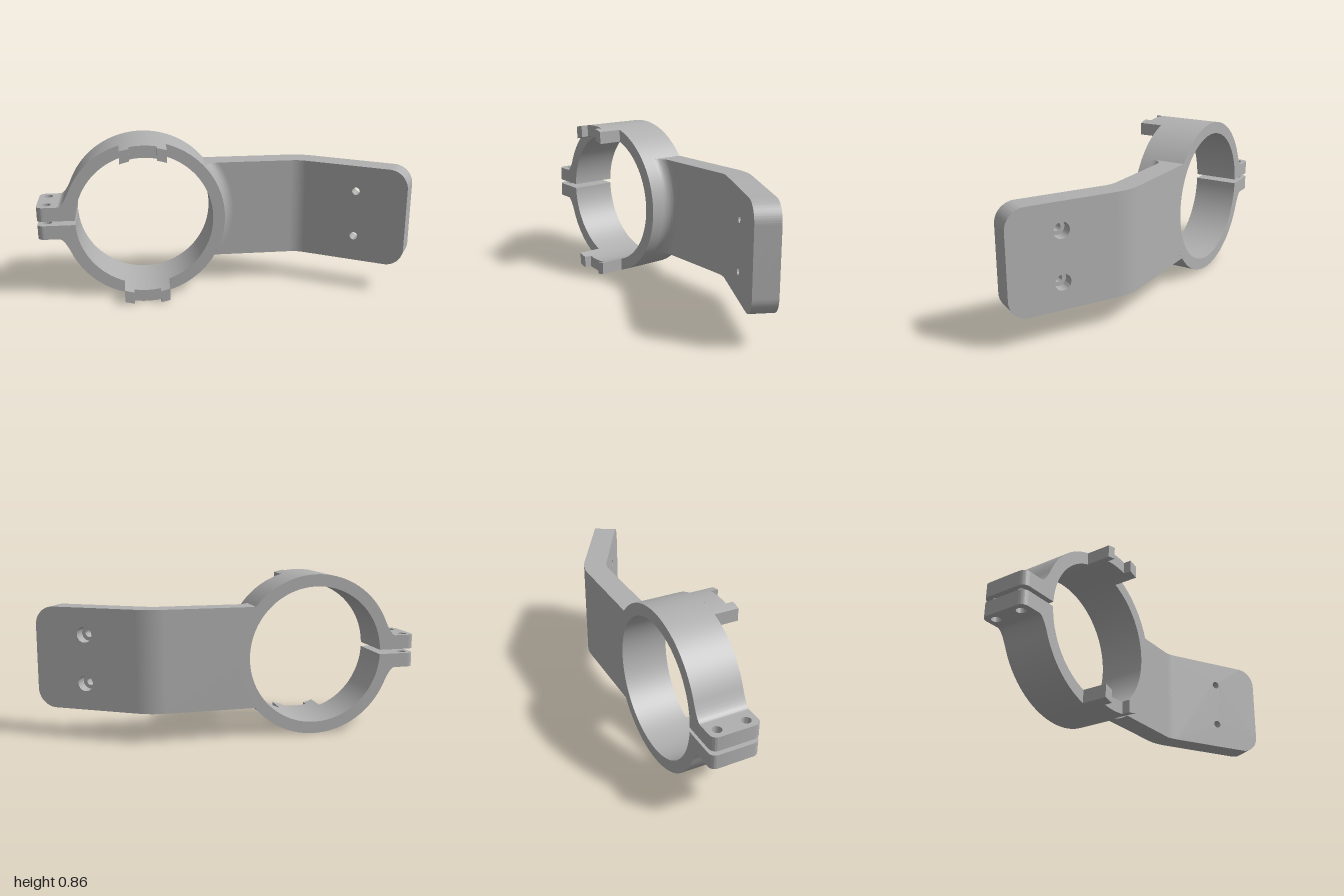
import * as THREE from 'three';
import { toCreasedNormals } from 'three/addons/utils/BufferGeometryUtils.js';

const R = 0.4285, RI = 0.365;          // ring radii
const BACK = -0.215, RIM = 0.04;       // ring depth range
const ARM_FRONT = -0.09, H = 0.268;    // arm front face and half height
const BEND_X = 0.813, BEND_Z = 0.06;   // axis of the arm bend
const BEND_IN = 0.15, BEND_OUT = 0.275;

export function createModel() {
  const model = new THREE.Group();
  model.name = 'clampBracket';
  const grey = new THREE.MeshStandardMaterial({ color: 0xb0b0b0 });
  grey.name = 'grey';

  // everything is built around the ring's centre
  const body = new THREE.Group();
  body.name = 'bracketBody';
  body.position.set(-0.435, R, 0);
  model.add(body);

  const add = (name, geo, parent = body) => {
    const mesh = new THREE.Mesh(toCreasedNormals(geo, 0.5), grey);
    mesh.name = name;
    parent.add(mesh);
    return mesh;
  };
  // extrude an xy shape from z0 to z1
  const slab = (shape, z0, z1, curveSegments = 32) =>
    new THREE.ExtrudeGeometry(shape, { depth: z1 - z0, bevelEnabled: false, curveSegments }).translate(0, 0, z0);
  // extrude a plan shape, drawn as (x, -z), from y0 to y1
  const plan = (shape, y0, y1) => slab(shape, y0, y1).rotateX(-Math.PI / 2);
  const hole = (shape, x, y, r) => shape.holes.push(new THREE.Path().absarc(x, y, r, 0, Math.PI * 2, true));

  // split ring with fillets flowing into the ears
  const join = Math.atan2(0.168, -0.395), slit = Math.PI - 0.033;
  const ring = new THREE.Shape();
  ring.moveTo(-0.455, 0.012);
  ring.lineTo(-0.455, 0.088);
  ring.quadraticCurveTo(-0.429, 0.088, R * Math.cos(join), R * Math.sin(join));
  ring.absarc(0, 0, R, join, -join, true);
  ring.quadraticCurveTo(-0.429, -0.088, -0.455, -0.088);
  ring.lineTo(-0.455, -0.012);
  ring.absarc(0, 0, RI, -slit, slit, false);
  add('clampRing', slab(ring, BACK, RIM, 96));

  // clamp ears with bolt holes
  const c = 0.035;
  for (const [name, y0, y1] of [['upperEar', 0.012, 0.088], ['lowerEar', -0.088, -0.012]]) {
    const ear = new THREE.Shape();
    ear.moveTo(-0.455, -RIM);
    ear.lineTo(-0.455, -BACK);
    ear.absarc(-0.565 + c, -BACK - c, c, Math.PI / 2, Math.PI, false);
    ear.absarc(-0.565 + c, -RIM + c, c, Math.PI, Math.PI * 1.5, false);
    hole(ear, -0.515, 0.165, 0.024);
    hole(ear, -0.515, 0.015, 0.024);
    add(name, plan(ear, y0, y1));
  }

  // notched tabs on the rim, top and bottom: slices of the ring wall
  const wallSlice = (x0, x1, z0, z1) => {
    const s = new THREE.Shape();
    s.absarc(0, 0, R, Math.acos(x1 / R), Math.acos(x0 / R), false);
    s.absarc(0, 0, RI, Math.acos(x0 / RI), Math.acos(x1 / RI), true);
    return slab(s, z0, z1, 16);
  };
  for (const [name, turn] of [['topTab', 0], ['bottomTab', Math.PI]]) {
    const tab = new THREE.Group();
    tab.name = name;
    tab.rotation.z = turn;
    body.add(tab);
    add('tabBase', wallSlice(-0.12, 0.12, RIM, 0.13), tab);
    add('tabProngLeft', wallSlice(0.07, 0.12, 0.13, 0.17), tab);
    add('tabProngRight', wallSlice(-0.12, -0.07, 0.13, 0.17), tab);
  }

  // straight part of the arm, cut to the ring
  const a = Math.asin(H / R);
  const arm = new THREE.Shape();
  arm.moveTo(BEND_X, -H);
  arm.lineTo(BEND_X, H);
  arm.absarc(0, 0, R, a, -a, true);
  add('arm', slab(arm, BACK, ARM_FRONT, 64));

  // concave fillet wrapped round the ring where it meets the arm
  const f = 0.06, r0 = R - 0.003;
  const profile = new THREE.Shape();
  profile.moveTo(r0, ARM_FRONT);
  profile.lineTo(R + f, ARM_FRONT);
  profile.absarc(R + f, ARM_FRONT + f, f, Math.PI * 1.5, Math.PI, true);
  profile.lineTo(r0, ARM_FRONT + f);
  const fillet = new THREE.ExtrudeGeometry(profile, { depth: 1, steps: 40, bevelEnabled: false, curveSegments: 12 });
  const p = fillet.attributes.position;
  for (let i = 0; i < p.count; i++) {
    const r = p.getX(i), angle = (1 - 2 * p.getZ(i)) * Math.asin(H / r);
    p.setXYZ(i, r * Math.cos(angle), r * Math.sin(angle), p.getY(i));
  }
  add('armFillet', fillet);

  // thirty degree bend
  const bend = new THREE.Shape();
  bend.absarc(BEND_X, -BEND_Z, BEND_OUT, Math.PI / 2, Math.PI / 3, true);
  bend.absarc(BEND_X, -BEND_Z, BEND_IN, Math.PI / 3, Math.PI / 2, false);
  add('armBend', plan(bend, -H, H));

  // angled mounting plate in two layers, so the screw holes are counterbored
  const plate = new THREE.Group();
  plate.name = 'mountingPlate';
  plate.position.set(BEND_X, 0, BEND_Z);
  plate.rotation.y = -Math.PI / 6;
  body.add(plate);
  const L = 0.56, k = 0.1, step = -BEND_OUT + 0.06;
  for (const [name, holeR, z0, z1] of [
    ['plateBack', 0.041, -BEND_OUT, step],
    ['plateFront', 0.021, step, -BEND_IN],
  ]) {
    const s = new THREE.Shape();
    s.moveTo(0, H);
    s.lineTo(0, -H);
    s.absarc(L - k, -H + k, k, -Math.PI / 2, 0, false);
    s.absarc(L - k, H - k, k, 0, Math.PI / 2, false);
    for (const y of [-0.128, 0.128]) hole(s, 0.286, y, holeR);
    add(name, slab(s, z0, z1), plate);
  }
  return model;
}
